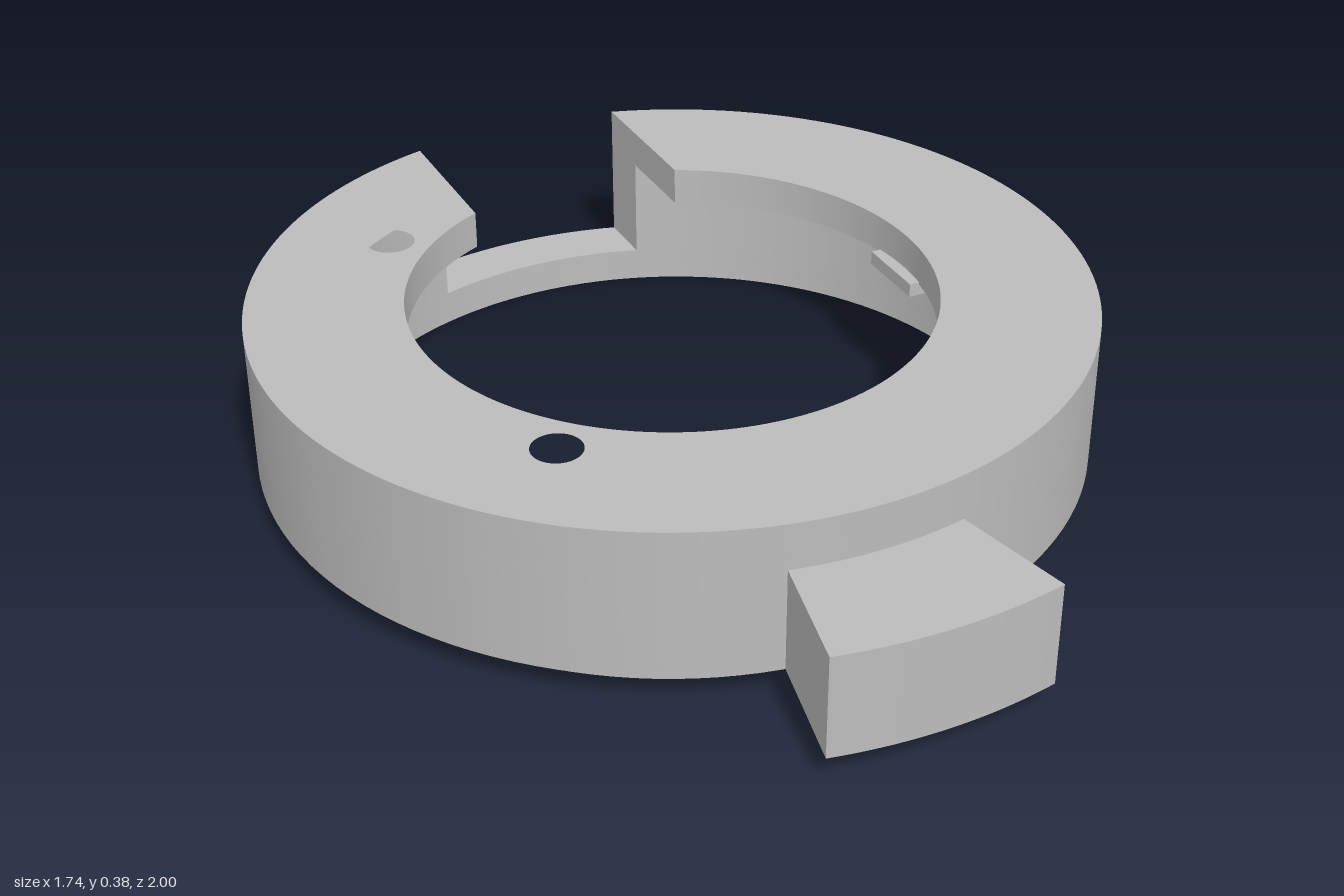
import * as THREE from 'three';
import { toCreasedNormals } from 'three/addons/utils/BufferGeometryUtils.js';

const OUTER = 0.872, CAVITY = 0.747, BORE = 0.548, LIP = 0.797;
const SLOT = 0.24;          // half width of the rear slot
const CENTRE_Z = -0.128;    // ring axis

export function createModel() {
  const model = new THREE.Group();
  const ring = new THREE.Group();
  ring.name = 'ringMount';
  ring.position.z = CENTRE_Z;
  model.add(ring);

  const grey = new THREE.MeshStandardMaterial({ color: 0xbcbcbc });
  grey.name = 'plain grey';

  const add = (name, geometry) => {
    const mesh = new THREE.Mesh(toCreasedNormals(geometry, 0.5), grey);
    mesh.name = name;
    ring.add(mesh);
  };

  // Extrudes a plan shape upward from y0 to y1 (shape +y is the rear)
  const slab = (name, shape, y0, y1) => {
    const g = new THREE.ExtrudeGeometry(shape, { depth: y1 - y0, bevelEnabled: false, curveSegments: 96 });
    g.rotateX(-Math.PI / 2);
    g.translate(0, y0, 0);
    add(name, g);
  };

  const hole = (shape, x, y, r) => {
    const path = new THREE.Path();
    path.absarc(x, y, r, 0, Math.PI * 2, true);
    shape.holes.push(path);
  };

  // Ring plan with a straight-sided gap at the rear
  const slottedRing = (inner) => {
    const a = Math.acos(SLOT / OUTER), b = Math.acos(SLOT / inner);
    const s = new THREE.Shape();
    s.absarc(0, 0, OUTER, a, Math.PI - a, true);
    s.absarc(0, 0, inner, Math.PI - b, b, false);
    s.closePath();
    return s;
  };

  // Stepped base: locating lip and thin floor that bridges the slot
  const profile = [
    [CAVITY, 0.075], [CAVITY, 0], [LIP, 0], [LIP, 0.062],
    [OUTER, 0.062], [OUTER, 0.075], [CAVITY, 0.075],
  ].map(([r, y]) => new THREE.Vector2(r, y));
  add('baseLip', new THREE.LatheGeometry(profile, 128));

  // Side wall and top plate with two screw holes
  slab('sideWall', slottedRing(CAVITY), 0.075, 0.3);
  const plate = slottedRing(BORE);
  for (const y of [-0.45, 0.45]) hole(plate, -0.45, y, 0.051);
  slab('topPlate', plate, 0.3, 0.382);

  // Flared front lug with a blind hole underneath
  const lugShape = () => {
    const mid = -Math.PI / 2, half = 0.21;
    const s = new THREE.Shape();
    s.absarc(0, 0, 1.128, mid - half, mid + half, false);
    s.absarc(0, 0, 0.85, mid + half, mid - half, true);
    s.closePath();
    return s;
  };
  const lower = lugShape();
  hole(lower, 0, -1.0, 0.09);
  slab('lugSocket', lower, 0.062, 0.22);
  slab('lugTop', lugShape(), 0.22, 0.283);

  // Small catch inside the bore
  const catchTab = new THREE.BoxGeometry(0.06, 0.03, 0.165);
  catchTab.translate(0.55, 0.29, -0.002);
  add('boreCatch', catchTab);

  return model;
}
